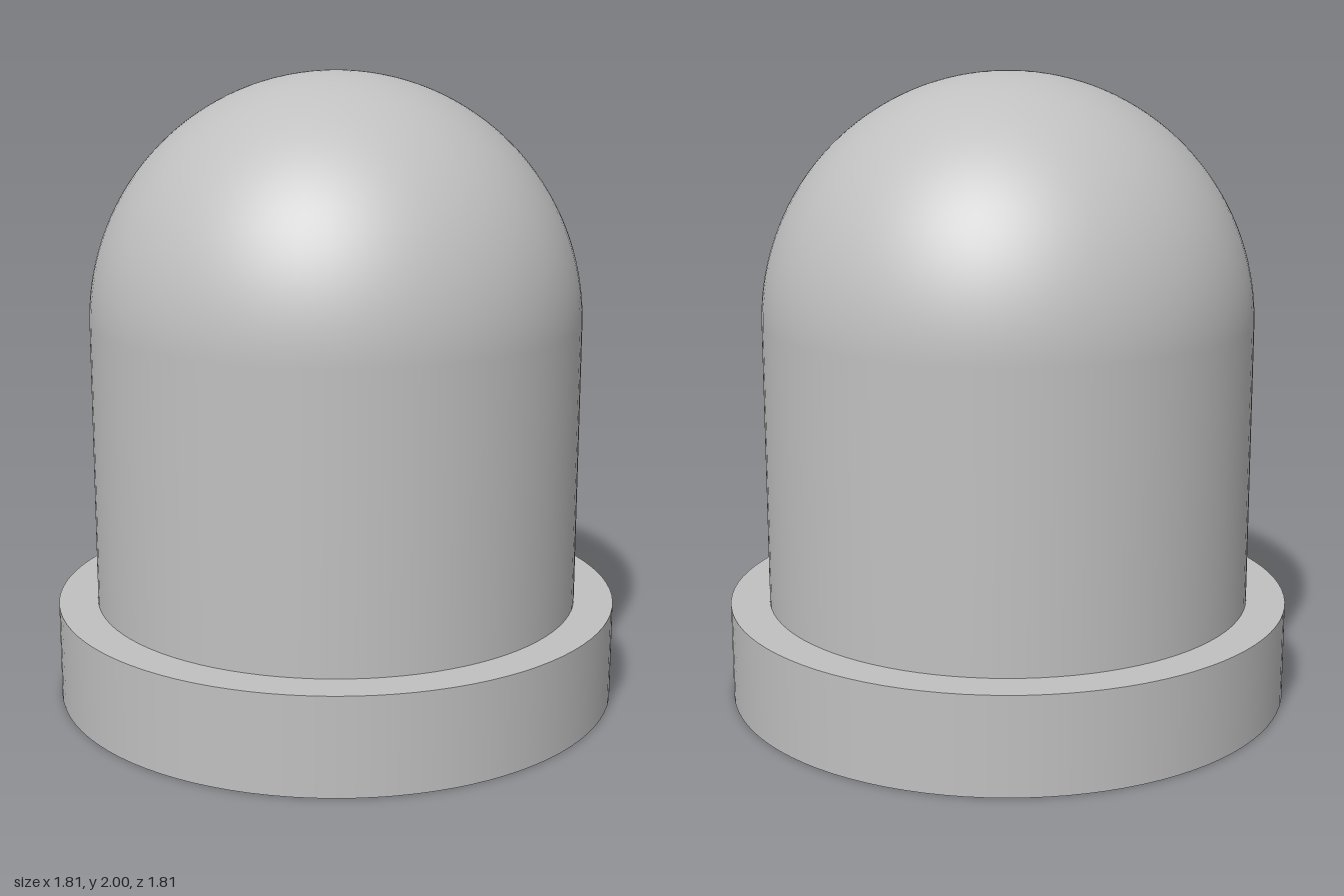
import * as THREE from 'three';

const SEGMENTS = 96;
const FLANGE_RADIUS = 0.905;
const FLANGE_HEIGHT = 0.31;
const BODY_RADIUS = 0.78;
const DOME_START = 2 - BODY_RADIUS;

export function createModel() {
  const model = new THREE.Group();
  model.name = 'domedCap';
  const grey = new THREE.MeshStandardMaterial({ color: 0xc0c0c0 });
  grey.name = 'light grey';

  const add = (name, geometry, y) => {
    const mesh = new THREE.Mesh(geometry, grey);
    mesh.name = name;
    mesh.position.y = y;
    model.add(mesh);
  };

  // Wide disc at the foot
  add('baseFlange',
    new THREE.CylinderGeometry(FLANGE_RADIUS, FLANGE_RADIUS, FLANGE_HEIGHT, SEGMENTS),
    FLANGE_HEIGHT / 2);

  // Straight wall, closed by the flange below and the dome above
  const wallHeight = DOME_START - FLANGE_HEIGHT;
  add('body',
    new THREE.CylinderGeometry(BODY_RADIUS, BODY_RADIUS, wallHeight, SEGMENTS, 1, true),
    FLANGE_HEIGHT + wallHeight / 2);

  // Hemisphere continuing smoothly from the wall
  add('dome',
    new THREE.SphereGeometry(BODY_RADIUS, SEGMENTS, 32, 0, Math.PI * 2, 0, Math.PI / 2),
    DOME_START);

  return model;
}
